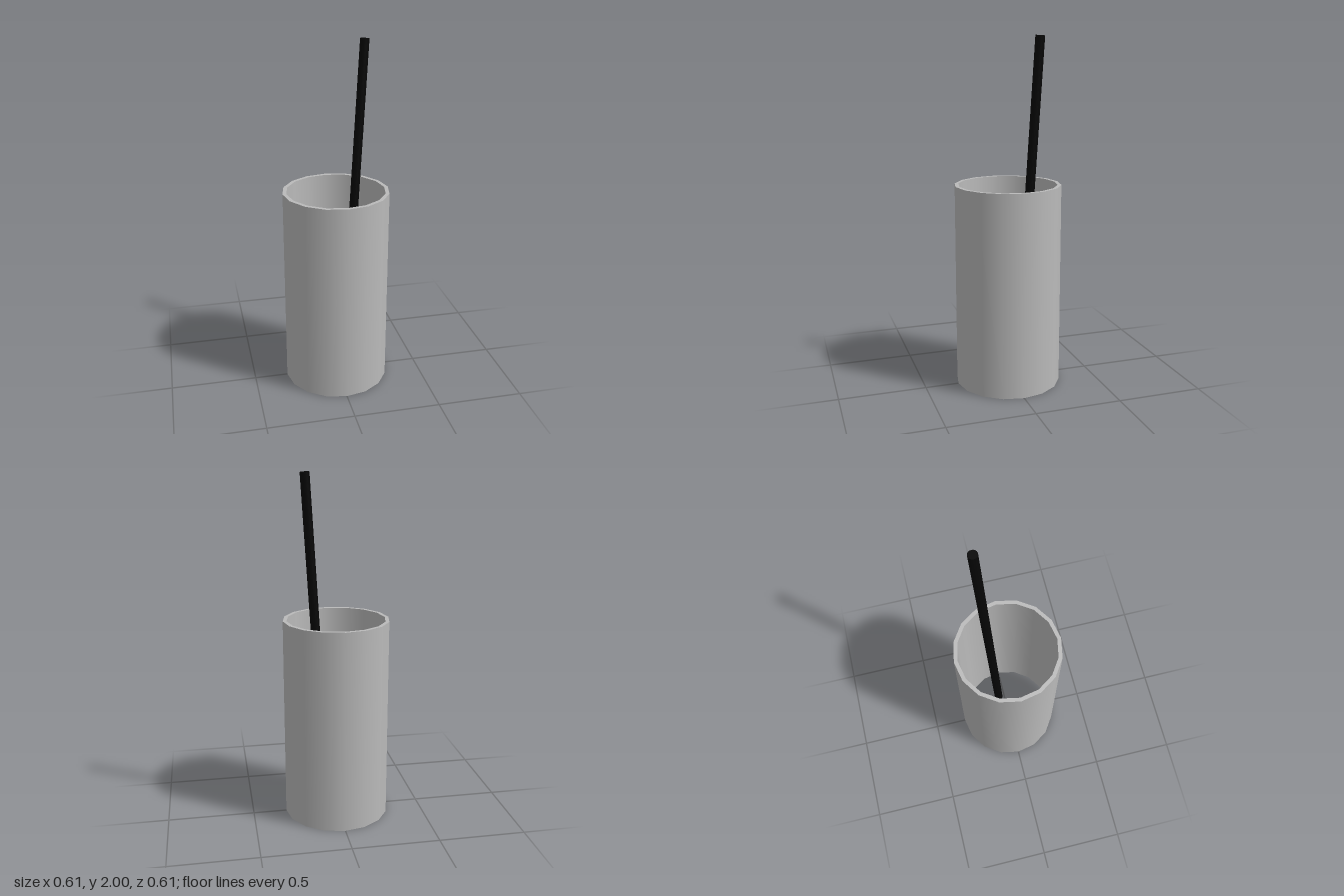
import * as THREE from 'three';
import { mergeGeometries } from 'three/addons/utils/BufferGeometryUtils.js';

const grey = new THREE.MeshStandardMaterial({ name: 'grey', color: 0xbababa });
const black = new THREE.MeshStandardMaterial({ name: 'black', color: 0x060606 });

export function createModel() {
  const model = new THREE.Group();
  model.name = 'cupWithStraw';

  // Open tube: each wall and rim is its own lathe, so the rim edges stay sharp
  const outer = 0.305, inner = 0.283, height = 1.175, sides = 16;
  const corners = [[outer, 0], [outer, height], [inner, height], [inner, 0]]
    .map(([r, y]) => new THREE.Vector2(r, y));
  const bands = corners.map((p, i) =>
    new THREE.LatheGeometry([p, corners[(i + 1) % corners.length]], sides));
  const cup = new THREE.Mesh(mergeGeometries(bands), grey);
  cup.name = 'cup';
  model.add(cup);

  // Leaning straw, stretched between its two end points
  const bottom = new THREE.Vector3(0.068, 0.14, -0.047);
  const top = new THREE.Vector3(0.188, 1.998, -0.12);
  const axis = top.clone().sub(bottom);
  const straw = new THREE.Mesh(new THREE.CylinderGeometry(0.026, 0.026, axis.length(), 16), black);
  straw.name = 'straw';
  straw.position.copy(bottom).add(top).multiplyScalar(0.5);
  straw.quaternion.setFromUnitVectors(new THREE.Vector3(0, 1, 0), axis.normalize());
  model.add(straw);

  return model;
}
